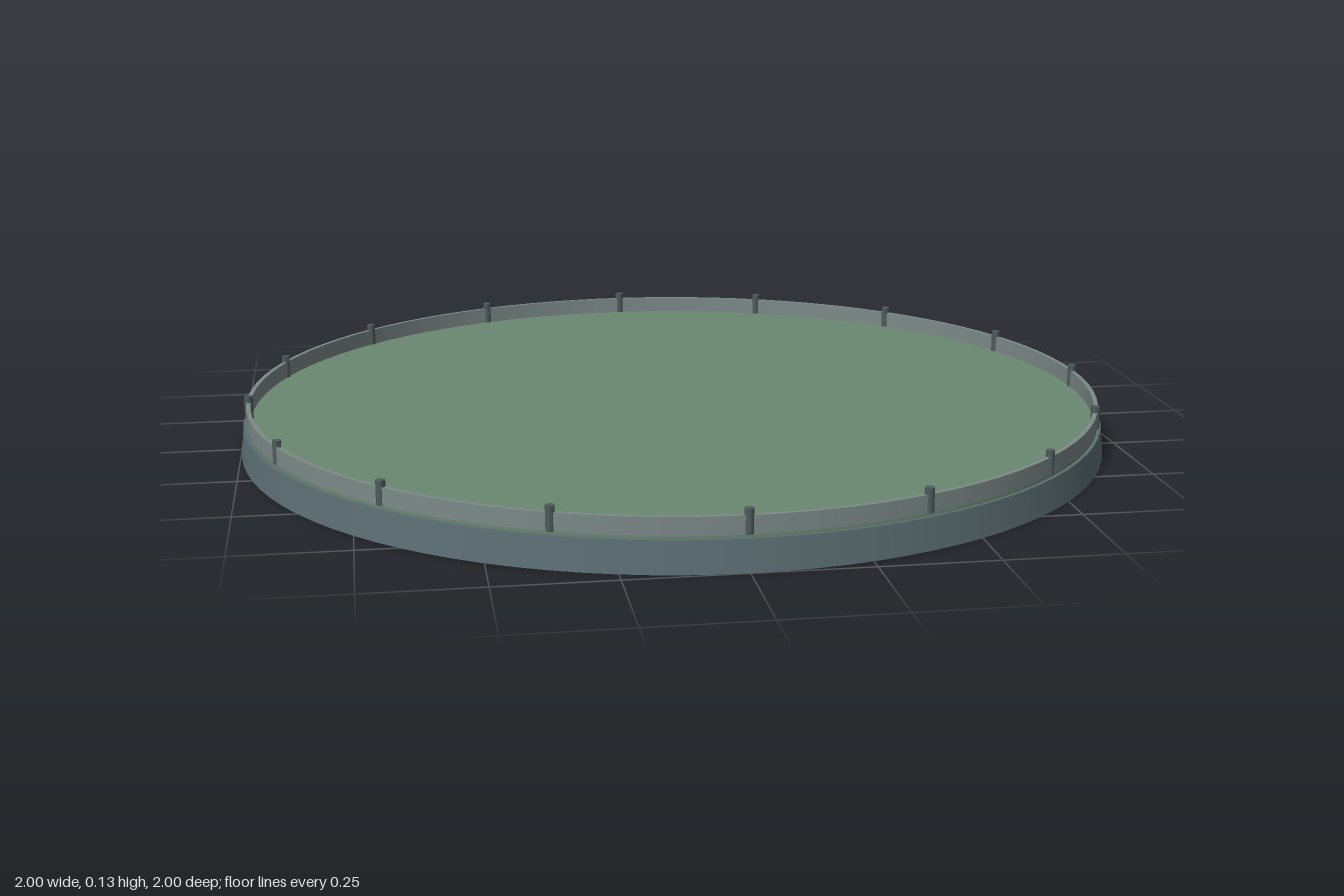
import * as THREE from 'three';

const SEGMENTS = 96;
const POSTS = 16;

export function createModel() {
  const model = new THREE.Group();
  const add = (name, geometry, color, y = 0, parent = model) => {
    const mesh = new THREE.Mesh(geometry, new THREE.MeshStandardMaterial({ color }));
    mesh.name = name;
    mesh.position.y = y;
    parent.add(mesh);
    return mesh;
  };

  // Slightly tapered platform
  add('base', new THREE.CylinderGeometry(0.993, 1, 0.068, SEGMENTS), 0x5c6e73, 0.034);

  // Thin green deck on top of the platform
  add('deck', new THREE.CylinderGeometry(0.985, 0.985, 0.006, SEGMENTS), 0x6b8871, 0.071);

  // Low wall: closed rectangular section turned around the rim
  const section = [[0.975, 0.074], [0.985, 0.074], [0.985, 0.112], [0.975, 0.112], [0.975, 0.074]];
  const wall = new THREE.Group();
  wall.name = 'rimWall';
  for (let i = 0; i < 4; i++) {
    const side = section.slice(i, i + 2).map(([r, y]) => new THREE.Vector2(r, y));
    add('rimWallFace', new THREE.LatheGeometry(side, SEGMENTS), 0x7c8a88, 0, wall);
  }
  model.add(wall);

  // Evenly spaced posts rising just above the wall
  const posts = new THREE.Group();
  posts.name = 'posts';
  const postGeometry = new THREE.CylinderGeometry(0.01, 0.01, 0.052, 8);
  for (let i = 0; i < POSTS; i++) {
    const a = (i / POSTS) * Math.PI * 2;
    const post = add('post', postGeometry, 0x4f5c5c, 0.1, posts);
    post.position.x = 0.98 * Math.cos(a);
    post.position.z = 0.98 * Math.sin(a);
    post.rotation.y = -a;
  }
  model.add(posts);

  return model;
}
